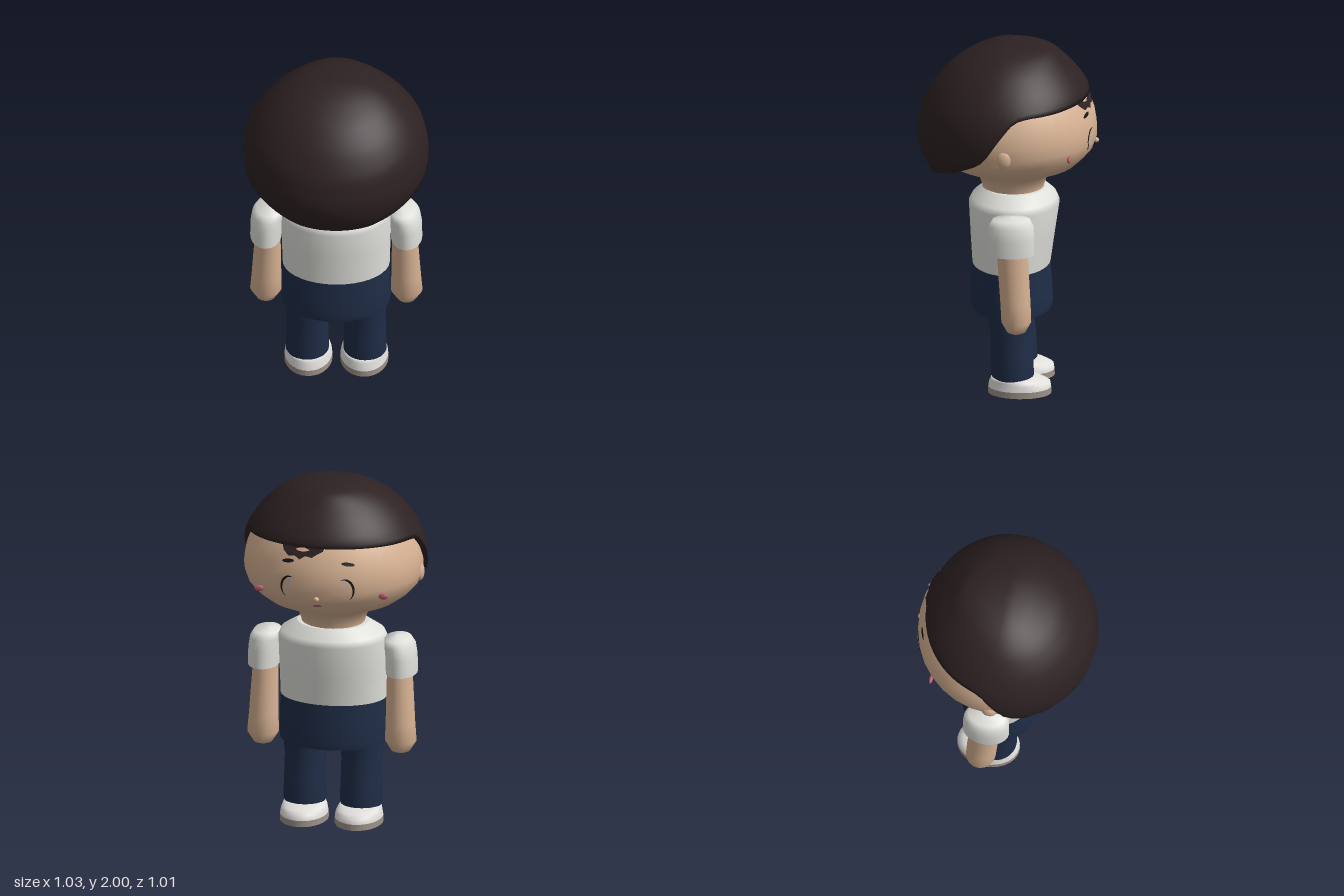
import * as THREE from 'three';

const mat = (name, color, side = THREE.FrontSide) => {
  const m = new THREE.MeshStandardMaterial({ color, side });
  m.name = name;
  return m;
};

// Linear lookup in a table of [key, value] pairs with ascending keys
function lookup(table, k) {
  if (k <= table[0][0]) return table[0][1];
  for (let i = 1; i < table.length; i++) {
    const [a, va] = table[i - 1], [b, vb] = table[i];
    if (k <= b) return va + (vb - va) * (k - a) / (b - a);
  }
  return table[table.length - 1][1];
}

// Surface from closed rings of points, ordered bottom to top
function skin(rings) {
  const n = rings[0].length, pos = rings.flat(2), idx = [];
  for (let i = 0; i < rings.length - 1; i++) for (let j = 0; j < n; j++) {
    const a = i * n + j, b = i * n + (j + 1) % n;
    idx.push(a, b, b + n, a, b + n, a + n);
  }
  const g = new THREE.BufferGeometry();
  g.setAttribute('position', new THREE.Float32BufferAttribute(pos, 3));
  g.setIndex(idx);
  g.computeVertexNormals();
  return g;
}

// Elliptical loft; each ring is [y, centreX, centreZ, radiusX, radiusZ]
const loft = (rows, n = 28) => skin(rows.map(([y, cx, cz, rx, rz]) =>
  Array.from({ length: n }, (_, j) => {
    const a = j / n * Math.PI * 2;
    return [cx + rx * Math.sin(a), y, cz + rz * Math.cos(a)];
  })));

// Head radius by height
const HEAD = [[1.12, 0.175], [1.17, 0.178], [1.24, 0.205], [1.31, 0.37], [1.35, 0.43], [1.4, 0.475], [1.46, 0.497],
  [1.53, 0.497], [1.6, 0.485], [1.7, 0.445], [1.8, 0.36], [1.88, 0.22], [1.92, 0]];
const faceZ = (x, y) => -0.01 - 0.965 * Math.sqrt(Math.max(0, lookup(HEAD, y) ** 2 - x * x));

// Flat outline laid onto the face
function facePatch(points, lift = 0.006) {
  const g = new THREE.ShapeGeometry(new THREE.Shape(points.map(([x, y]) => new THREE.Vector2(x, y))));
  const p = g.attributes.position;
  for (let i = 0; i < p.count; i++) p.setZ(i, faceZ(p.getX(i), p.getY(i)) - lift);
  g.computeVertexNormals();
  return g;
}
const oval = (cx, cy, rx, ry, tilt = 0) => Array.from({ length: 16 }, (_, i) => {
  const a = i / 8 * Math.PI, x = Math.cos(a) * rx;
  return [cx + x, cy + Math.sin(a) * ry + x * tilt];
});

// Hair radius by sqrt(depth below the crown), for front, side and back
const byDepth = rows => rows.map(([y, r]) => [Math.sqrt(2 - y), r]);
const HAIR_FRONT = byDepth([[2, 0], [1.99, 0.17], [1.965, 0.25], [1.9, 0.32], [1.81, 0.4], [1.75, 0.44], [1.68, 0.455]]);
const HAIR_SIDE = byDepth([[2, 0], [1.99, 0.12], [1.95, 0.24], [1.9, 0.32], [1.8, 0.42], [1.7, 0.485], [1.6, 0.515],
  [1.5, 0.521], [1.4, 0.505], [1.3, 0.45]]);
const HAIR_BACK = byDepth([[2, 0], [1.99, 0.07], [1.94, 0.2], [1.88, 0.3], [1.78, 0.4], [1.65, 0.48], [1.5, 0.51],
  [1.4, 0.495], [1.28, 0.44]]);
// Hem height by direction, -1 at the face and 1 at the back
const HEM = [[-1, 1.715], [-0.6, 1.705], [-0.3, 1.7], [-0.15, 1.685], [-0.05, 1.65], [0.1, 1.55], [0.2, 1.47],
  [0.28, 1.43], [0.4, 1.4], [0.6, 1.35], [0.8, 1.31], [0.9, 1.29], [1, 1.285]];

function hairGeometry() {
  const n = 72, steps = 24, rings = [];
  for (let i = -1; i <= steps; i++) {
    const t = 1 - Math.max(i, 0) / steps, tuck = i < 0 ? 0.91 : 1;
    rings.push(Array.from({ length: n }, (_, j) => {
      const a = j / n * Math.PI * 2, c = Math.cos(a), s = Math.sin(a);
      const u = t * Math.sqrt(2 - lookup(HEM, c));
      const rz = lookup(c > 0 ? HAIR_BACK : HAIR_FRONT, u);
      return [s * lookup(HAIR_SIDE, u) * tuck, 2 - u * u + (i < 0 ? 0.015 : 0), c * rz * tuck];
    }));
  }
  return skin(rings);
}

export function createModel() {
  const model = new THREE.Group();
  model.name = 'figure';
  const M = {
    skin: mat('skin', 0xd6b192),
    hair: mat('hair', 0x2d2122, THREE.DoubleSide),
    shirt: mat('shirt white', 0xdfdfda),
    navy: mat('trouser navy', 0x1f2d47, THREE.DoubleSide),
    shoe: mat('shoe white', 0xe2e0dd),
    sole: mat('sole grey', 0x9d9188),
    pink: mat('pink', 0xb85a6c, THREE.DoubleSide),
    ink: mat('eye black', 0x1b1517, THREE.DoubleSide),
    glint: mat('eye glint', 0xb4bcc4, THREE.DoubleSide),
  };
  const add = (name, geometry, material) => {
    const m = new THREE.Mesh(geometry, material);
    m.name = name;
    model.add(m);
    return m;
  };
  const ball = (name, material, p, r) => {
    const m = add(name, new THREE.SphereGeometry(1, 16, 12), material);
    m.position.set(...p);
    m.scale.set(...r);
  };

  // Head and hair
  add('head', loft(HEAD.map(([y, r]) => [y, 0, y < 1.32 ? -0.025 : -0.01, r, r * 0.965]), 32), M.skin);
  add('hair', hairGeometry(), M.hair);
  add('fringe', facePatch([[-0.04, 1.73], [-0.03, 1.7], [0, 1.685], [0.03, 1.665], [0.07, 1.67], [0.1, 1.65],
    [0.13, 1.665], [0.17, 1.66], [0.2, 1.685], [0.22, 1.73], [0.15, 1.73], [0.08, 1.73]], 0.012), M.hair);

  // Face
  ball('nose', M.skin, [0, 1.43, -0.487], [0.016, 0.014, 0.014]);
  add('mouth', facePatch(oval(0, 1.383, 0.024, 0.01)), M.pink);

  // Torso
  add('shirt', loft([[0.72, 0, -0.015, 0.297, 0.217], [0.9, 0, -0.022, 0.302, 0.235], [1.07, 0, -0.03, 0.306, 0.252],
    [1.105, 0, -0.032, 0.29, 0.235], [1.16, 0, -0.035, 0.2, 0.175], [1.16, 0, -0.035, 0.2, 0.175],
    [1.165, 0, -0.035, 0, 0]], 36), M.shirt);
  add('trouserHips', loft([[0.46, 0, -0.017, 0.298, 0.222], [0.5, 0, -0.016, 0.303, 0.23],
    [0.6, 0, -0.014, 0.302, 0.225], [0.72, 0, -0.014, 0.297, 0.217]], 36), M.navy);

  for (const s of [1, -1]) {
    const side = s > 0 ? 'left' : 'right';
    // Face details
    ball(side + 'Ear', M.skin, [s * 0.485, 1.465, 0], [0.025, 0.052, 0.042]);
    ball(side + 'Cheek', M.pink, [s * 0.352, 1.428, -0.355], [0.028, 0.018, 0.011]);
    add(side + 'Brow', facePatch(oval(s * 0.17, 1.632, 0.036, 0.01, -s * 0.15)), M.ink);
    const outer = [], inner = [];
    for (let i = 0; i <= 14; i++) {
      const f = i / 14, a = (115 - 180 * f) * Math.PI / 180, w = 1 - 0.22 * Math.sin(f * Math.PI);
      outer.push([s * (0.158 + 0.052 * Math.cos(a)), 1.487 + 0.066 * Math.sin(a)]);
      inner.unshift([s * (0.158 + 0.051 * w * Math.cos(a)), 1.487 + 0.065 * w * Math.sin(a)]);
    }
    add(side + 'Eye', facePatch([...outer, ...inner]), M.ink);
    add(side + 'EyeGlintUpper', facePatch(oval(s * 0.158, 1.522, 0.01, 0.014)), M.glint);
    add(side + 'EyeGlintLower', facePatch(oval(s * 0.165, 1.458, 0.008, 0.01)), M.glint);

    // Arm and sleeve
    add(side + 'Arm', loft([[0.41, s * 0.39, -0.06, 0, 0], [0.432, s * 0.39, -0.065, 0.052, 0.052],
      [0.49, s * 0.39, -0.065, 0.088, 0.083], [0.6, s * 0.387, -0.06, 0.082, 0.084],
      [0.88, s * 0.38, -0.042, 0.071, 0.086], [1, s * 0.375, -0.035, 0.068, 0.08]]), M.skin);
    add(side + 'Sleeve', loft([[0.91, s * 0.385, -0.037, 0.068, 0.085], [0.882, s * 0.39, -0.036, 0.084, 0.126],
      [0.882, s * 0.39, -0.036, 0.087, 0.13], [0.98, s * 0.388, -0.036, 0.088, 0.13],
      [1.045, s * 0.38, -0.036, 0.086, 0.126], [1.082, s * 0.37, -0.036, 0.074, 0.104],
      [1.094, s * 0.36, -0.036, 0, 0]]), M.shirt);

    // Leg and shoe
    add(side + 'Leg', loft([[0.09, s * 0.16, -0.03, 0.112, 0.11], [0.105, s * 0.16, -0.03, 0.12, 0.12],
      [0.25, s * 0.16, -0.025, 0.116, 0.117], [0.36, s * 0.16, -0.018, 0.114, 0.112],
      [0.45, s * 0.16, -0.015, 0.122, 0.125], [0.6, s * 0.16, -0.015, 0.12, 0.13]]), M.navy);
    add(side + 'Sole', loft([[0, s * 0.155, -0.07, 0, 0], [0, s * 0.155, -0.07, 0.134, 0.176],
      [0, s * 0.155, -0.07, 0.134, 0.176], [0.035, s * 0.155, -0.07, 0.133, 0.175]]), M.sole);
    add(side + 'Shoe', loft([[0.035, s * 0.155, -0.07, 0.133, 0.175], [0.065, s * 0.155, -0.07, 0.128, 0.17],
      [0.08, s * 0.156, -0.058, 0.122, 0.15], [0.1, s * 0.158, -0.03, 0.112, 0.118],
      [0.102, s * 0.158, -0.03, 0, 0]]), M.shoe);
  }
  return model;
}
